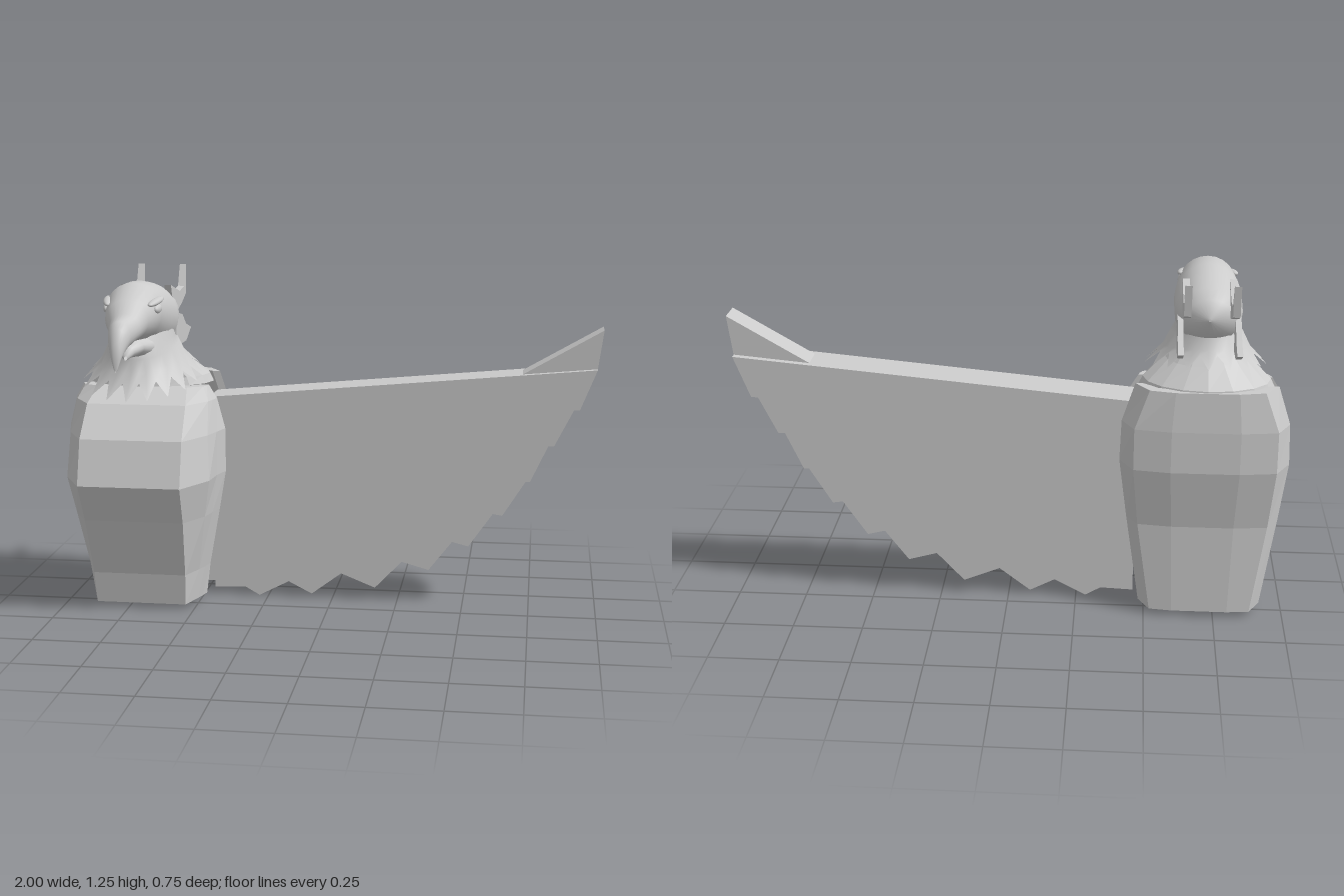
import * as THREE from 'three';

const smooth = new THREE.MeshStandardMaterial({ color: 0xcccccc, side: THREE.DoubleSide });
const flat = new THREE.MeshStandardMaterial({ color: 0xcccccc, side: THREE.DoubleSide, flatShading: true });

function mesh(name, geometry, material) {
  const m = new THREE.Mesh(geometry, material);
  m.name = name;
  return m;
}

// Skin over closed rings of [x, y, z] points
function loft(rings) {
  const n = rings[0].length, index = [];
  for (let i = 0; i < rings.length - 1; i++) {
    for (let j = 0; j < n; j++) {
      const a = i * n + j, b = i * n + (j + 1) % n;
      index.push(a, b, b + n, a, b + n, a + n);
    }
  }
  const g = new THREE.BufferGeometry();
  g.setAttribute('position', new THREE.Float32BufferAttribute(rings.flat(2), 3));
  g.setIndex(index);
  g.computeVertexNormals();
  return g;
}

function ring(n, at) {
  return Array.from({ length: n }, (_, j) => at(j / n * Math.PI * 2, j));
}

// Flat outline extruded evenly to both sides of z = 0
function slab(points, depth) {
  const shape = new THREE.Shape(points.map(p => new THREE.Vector2(...p)));
  return new THREE.ExtrudeGeometry(shape, { depth, bevelEnabled: false }).translate(0, 0, -depth / 2);
}

// Thick curved plate; each row is [y, [halfX, z] from the side edge to the middle]
function plate(rows, s) {
  const t = 0.03;
  const sections = rows.map(([y, ...cols]) => {
    const side = (sx, inset) => cols.map(([x, z], k) =>
      [sx * (x - inset), y, z - (k ? s * inset : 0)]);
    const path = inset => [...side(-s, inset), ...side(s, inset).reverse()];
    return [...path(0), ...path(t).reverse()];
  });
  // Rims meet on the line halfway through the thickness
  const rim = r => r.map((p, k) => p.map((v, c) => (v + r[r.length - 1 - k][c]) / 2));
  return loft([rim(sections[0]), ...sections, rim(sections[sections.length - 1])]);
}

function makeBody() {
  const body = new THREE.Group();
  body.name = 'body';
  body.add(mesh('breastPlate', plate([
    [0.02, [0.22, -0.07], [0.21, -0.03], [0.20, 0.0], [0.17, 0.09]],
    [0.14, [0.235, -0.07], [0.225, -0.02], [0.21, 0.02], [0.175, 0.11]],
    [0.36, [0.275, -0.07], [0.26, 0.0], [0.245, 0.07], [0.185, 0.18]],
    [0.505, [0.30, -0.07], [0.28, 0.0], [0.27, 0.10], [0.19, 0.25]],
    [0.67, [0.30, -0.07], [0.28, 0.0], [0.26, 0.07], [0.19, 0.20]],
    [0.785, [0.27, -0.07], [0.26, -0.03], [0.25, 0.0], [0.185, 0.10]],
    [0.835, [0.24, -0.07], [0.235, -0.05], [0.225, -0.03], [0.17, 0.0]],
  ], 1), flat));
  body.add(mesh('backPlate', plate([
    [0.02, [0.22, -0.235], [0.18, -0.31], [0.10, -0.32]],
    [0.35, [0.27, -0.235], [0.23, -0.30], [0.11, -0.315]],
    [0.57, [0.30, -0.235], [0.25, -0.33], [0.12, -0.35]],
    [0.72, [0.295, -0.235], [0.25, -0.325], [0.12, -0.345]],
    [0.86, [0.25, -0.235], [0.20, -0.31], [0.11, -0.33]],
  ], -1), flat));
  // Sloping shoulders between the plates and the neck: y, halfX, centre z, halfZ
  const rows = [[0.835, 0.24, -0.165, 0.165], [0.865, 0.225, -0.165, 0.16],
    [0.93, 0.15, -0.12, 0.14], [0.98, 0.11, -0.09, 0.12]];
  body.add(mesh('shoulders', loft(rows.map(([y, x, c, z]) =>
    ring(16, a => [x * Math.sin(a), y, c + z * Math.cos(a)]))), flat));
  return body;
}

function makeHead() {
  const head = new THREE.Group();
  head.name = 'head';

  // Skull and hooked upper beak: z, top, bottom, half width
  const skull = [
    [0.375, 0.955, 0.95, 0.002], [0.373, 1.0, 0.955, 0.01], [0.365, 1.05, 0.975, 0.02],
    [0.34, 1.10, 1.0, 0.033], [0.31, 1.123, 1.015, 0.042], [0.24, 1.14, 1.03, 0.058],
    [0.20, 1.185, 1.035, 0.08], [0.10, 1.235, 1.02, 0.105], [0, 1.232, 0.98, 0.12],
    [-0.10, 1.215, 0.96, 0.12], [-0.17, 1.193, 0.99, 0.108], [-0.22, 1.165, 1.03, 0.08],
    [-0.24, 1.10, 1.09, 0.005]];
  head.add(mesh('skullAndBeak', loft(skull.map(([z, t, b, w]) => ring(24, a =>
    [w * Math.sin(a), (t + b) / 2 + (t - b) / 2 * Math.cos(a), z]))), smooth));

  // Lower beak
  const jaw = [[0.232, 0.985, 0.97, 0.006], [0.215, 1.02, 0.975, 0.03],
    [0.17, 1.04, 0.975, 0.055], [0.08, 1.05, 0.95, 0.085]];
  head.add(mesh('lowerBeak', loft(jaw.map(([z, t, b, w]) => ring(16, a =>
    [w * Math.sin(a), (t + b) / 2 + (t - b) / 2 * Math.cos(a), z]))), smooth));

  // Neck: y, halfX, front z, back z
  const n = 36;
  const neck = [[1.10, 0.10, 0.10, -0.2], [1.02, 0.115, 0.14, -0.21],
    [0.96, 0.13, 0.158, -0.21], [0.91, 0.155, 0.16, -0.225]].map(([y, x, f, b]) =>
    ring(n, a => [x * Math.sin(a), y + 0.035 * (1 - Math.cos(a)) * (y < 1 ? 1 : 0),
      (f + b) / 2 + (f - b) / 2 * Math.cos(a)]));
  // Pointed feather hem, lowest in front
  const hem = ring(n, (a, j) => {
    const c = Math.cos(a), back = (1 - c) / 2, tip = j % 2 === 0;
    return tip
      ? [0.22 * Math.sin(a), 0.82 + 0.11 * back, -0.02 + 0.27 * c]
      : [0.175 * Math.sin(a), 0.875 + 0.09 * back, -0.03 + 0.2 * c];
  });
  head.add(mesh('neckFeathers', loft([hem, ...neck.reverse()]), smooth));

  // Crest and cheek blades, outlines in (z, y)
  const crest = [[-0.1, 1.205], [-0.25, 1.165], [-0.33, 1.175], [-0.37, 1.255],
    [-0.362, 1.145], [-0.28, 1.115], [-0.15, 1.08]];
  const cheek = [[-0.12, 1.10], [-0.22, 1.08], [-0.28, 1.035], [-0.37, 1.01],
    [-0.28, 0.97], [-0.2, 0.97], [-0.1, 0.94]];
  for (const s of [-1, 1]) {
    const horn = mesh('crestFeather', slab(crest, 0.025).rotateY(-Math.PI / 2), flat);
    horn.position.x = s * 0.082;
    const blade = mesh('cheekFeather', slab(cheek, 0.02).rotateY(-Math.PI / 2), flat);
    blade.position.x = s * 0.1;
    const eye = mesh('eye', new THREE.SphereGeometry(1, 16, 10), smooth);
    eye.scale.set(0.014, 0.018, 0.038);
    eye.position.set(s * 0.092, 1.143, 0.112);
    const brow = mesh('brow', new THREE.SphereGeometry(1, 16, 10), smooth);
    brow.scale.set(0.018, 0.012, 0.06);
    brow.position.set(s * 0.088, 1.17, 0.12);
    brow.rotation.set(0.15, -s * 0.2, 0);
    head.add(horn, blade, eye, brow);
  }
  return head;
}

function makeWing() {
  const wing = new THREE.Group();
  wing.name = 'wing';
  // Feathers top to bottom: tip top, tip bottom, root height below, depth
  const feathers = [
    [0.98, 0.92, 0.92, 0.77, 0.72, 0.155],
    [0.90, 0.77, 0.83, 0.63, 0.655, 0.135],
    [0.81, 0.63, 0.745, 0.49, 0.59, 0.115],
    [0.73, 0.49, 0.645, 0.355, 0.53, 0.097],
    [0.61, 0.36, 0.52, 0.23, 0.47, 0.088],
    [0.46, 0.246, 0.37, 0.13, 0.36, 0.076],
    [0.27, 0.16, 0.165, 0.05, 0.30, 0.066],
    [0.04, 0.105, -0.08, 0.015, 0.21, 0.056],
    [-0.16, 0.065, -0.285, 0.0, 0.10, 0.046],
    [-0.32, 0.032, -0.33, 0.03, 0.025, 0.036]];
  const root = -0.46;
  let rootTop = 0.788;
  for (const [x1, y1, x2, y2, rootLow, depth] of feathers) {
    wing.add(mesh('feather', slab([[root, rootTop], [root, rootLow], [x2, y2], [x1, y1]], depth), flat));
    rootTop = rootLow;
  }
  wing.add(mesh('tipFeather', slab([[0.70, 0.89], [0.98, 0.915], [1.0, 1.063]], 0.105), flat));
  wing.position.z = -0.153;
  return wing;
}

export function createModel() {
  const model = new THREE.Group();
  model.name = 'wingedBust';
  const body = makeBody(), head = makeHead();
  body.position.x = head.position.x = -0.7;
  model.add(body, head, makeWing());
  return model;
}
